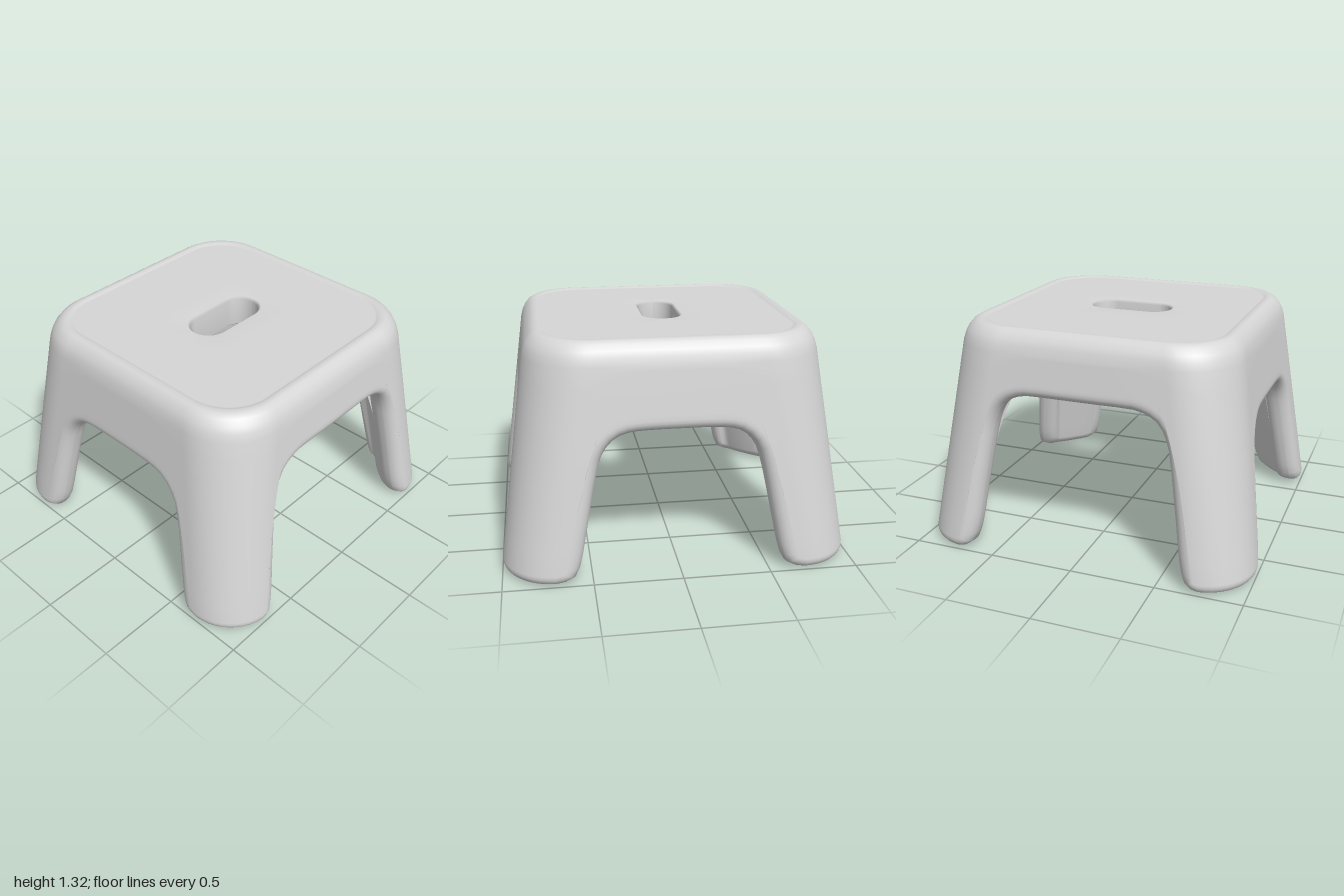
import * as THREE from 'three';

const N = 64;          // columns per quarter
const LIP = 0.06;      // rounding of the lower edge
const LIP_IN = 0.09;   // softer rounding towards the inside
const S_UNIT = 0.6;    // rough length of one unit of s

// Quarter of a rounded rectangle: s 0-1 front edge, 1-2 corner, 2-3 side edge
function loop(s, y, cx, cz, r, chord = 0) {
  if (s <= 1) return new THREE.Vector3(s * cx, y, cz + r);
  if (s >= 2) return new THREE.Vector3(cx + r, y, (3 - s) * cz);
  const t = s - 1, a = t * Math.PI / 2;
  const dx = THREE.MathUtils.lerp(Math.sin(a), t, chord);
  const dz = THREE.MathUtils.lerp(Math.cos(a), 1 - t, chord);
  return new THREE.Vector3(cx + r * dx, y, cz + r * dz);
}

// Splayed outer and inner wall surfaces; the legs are thicker at the corner
const half = (y) => 1.006 - 0.138 * y;
const core = (y) => 0.7 - 0.17 * y;
const outer = (s, y) => loop(s, y, core(y), core(y), half(y) - core(y));
function inner(s, y, inset = 0) {
  const c = core(y) - 0.035 - inset * 0.6, a = half(y) - 0.155 - inset;
  return loop(s, y, c, c, a - c, 1.25 - 0.85 * THREE.MathUtils.smoothstep(y, 0.6, 1.1));
}
const hole = (s, y, grow) => loop(s, y, 0.14, 0.003, 0.1 + grow);

// Lower outline of one quarter in (s, y): front arch, foot, side arch
const outline = new THREE.CatmullRomCurve3([
  [0, 0.951], [0.25, 0.951], [0.5, 0.951], [0.67, 0.944], [0.85, 0.895], [0.925, 0.8], [0.939, 0.7],
  [0.94, 0.4], [0.94, 0.12], [0.968, 0.033], [1.05, 0.005], [1.2, 0], [1.5, 0], [1.85, 0],
  [2.03, 0.005], [2.125, 0.035], [2.157, 0.12], [2.17, 0.25], [2.205, 0.6], [2.245, 0.715],
  [2.35, 0.792], [2.48, 0.821], [2.65, 0.829], [2.82, 0.831], [3, 0.831],
].map(([s, y]) => new THREE.Vector3(s * S_UNIT, y, 0)), false, 'centripetal');
outline.arcLengthDivisions = 800;

// Closed section through the shell: seat, rim, outer wall, lip, inner wall, ceiling, hole
function section(i) {
  const u = i / N, p = outline.getPointAt(u), t = outline.getTangentAt(u);
  const s0 = p.x / S_UNIT, st = (s0 + 3 * u) / 2;
  const pts = [];
  const pulled = (d) => [
    THREE.MathUtils.clamp(s0 - t.y * d / S_UNIT, 0, 3),
    p.y + t.x * d,
  ];

  // hole edge and flat seat
  const edge = hole(st, 1.31, 0.02), panel = loop(st, 1.31, 0.45, 0.45, 0.26);
  pts.push(hole(st, 1.297, 0.004));
  for (let k = 0; k <= 4; k++) pts.push(edge.clone().lerp(panel, k / 4));

  // raised, rounded rim
  for (const [a, y] of [[0.722, 1.311], [0.738, 1.32], [0.765, 1.316], [0.79, 1.3], [0.815, 1.268], [0.83, 1.235]]) {
    const c = 0.45 + (a - 0.722) * 0.37;
    pts.push(loop(st, y, c, c, a - c));
  }

  // outer wall
  const [sb, yb] = pulled(LIP);
  for (let k = 0; k < 10; k++)
    pts.push(outer(THREE.MathUtils.lerp(st, sb, k / 10), THREE.MathUtils.lerp(1.19, yb, k / 10)));

  // rounded lip
  const lip = (angle, inside) => {
    const [s, y] = pulled(LIP * (1 - Math.sin(angle)));
    const o = outer(s, y), n = inner(s, y);
    const f = (inside ? LIP_IN : LIP) * (1 - Math.cos(angle)) / o.distanceTo(n);
    pts.push(o.lerp(n, inside ? 1 - f : f));
  };
  for (let k = 0; k <= 5; k++) lip(k / 5 * Math.PI / 2, false);
  for (let k = 5; k >= 0; k--) lip(k / 5 * Math.PI / 2, true);

  // inner wall, curving into the ceiling
  for (let k = 1; k <= 10; k++)
    pts.push(inner(THREE.MathUtils.lerp(sb, st, k / 10), THREE.MathUtils.lerp(yb, 1.04, k / 10)));
  for (const [y, inset] of [[1.07, 0.012], [1.095, 0.04], [1.107, 0.08]]) pts.push(inner(st, y, inset));

  // ceiling and lower hole edge
  const from = inner(st, 1.11, 0.12), to = hole(st, 1.11, 0.018);
  for (let k = 0; k <= 4; k++) pts.push(from.clone().lerp(to, k / 4));
  pts.push(hole(st, 1.123, 0.004));
  return pts;
}

// Mirror the quarter sections around the stool and join them in a closed band
function shellGeometry() {
  const quarter = Array.from({ length: N + 1 }, (_, i) => section(i));
  const positions = [], index = [];
  const rows = quarter[0].length, cols = 4 * N;
  [[1, 1], [1, -1], [-1, -1], [-1, 1]].forEach(([sx, sz], q) => {
    for (let i = 0; i < N; i++)
      for (const p of quarter[q % 2 ? N - i : i]) positions.push(p.x * sx, p.y, p.z * sz);
  });
  for (let i = 0; i < cols; i++) {
    for (let j = 0; j < rows; j++) {
      const i2 = (i + 1) % cols, j2 = (j + 1) % rows;
      const a = i * rows + j, b = i * rows + j2, c = i2 * rows + j, d = i2 * rows + j2;
      index.push(a, b, d, a, d, c);
    }
  }
  const g = new THREE.BufferGeometry();
  g.setAttribute('position', new THREE.Float32BufferAttribute(positions, 3));
  g.setIndex(index);
  g.computeVertexNormals();
  return g;
}

export function createModel() {
  const group = new THREE.Group();
  group.name = 'stepStool';
  const plastic = new THREE.MeshStandardMaterial({ color: 0xd6d6d6 });
  plastic.name = 'light grey plastic';
  const shell = new THREE.Mesh(shellGeometry(), plastic);
  shell.name = 'seatAndLegs';
  group.add(shell);
  return group;
}
